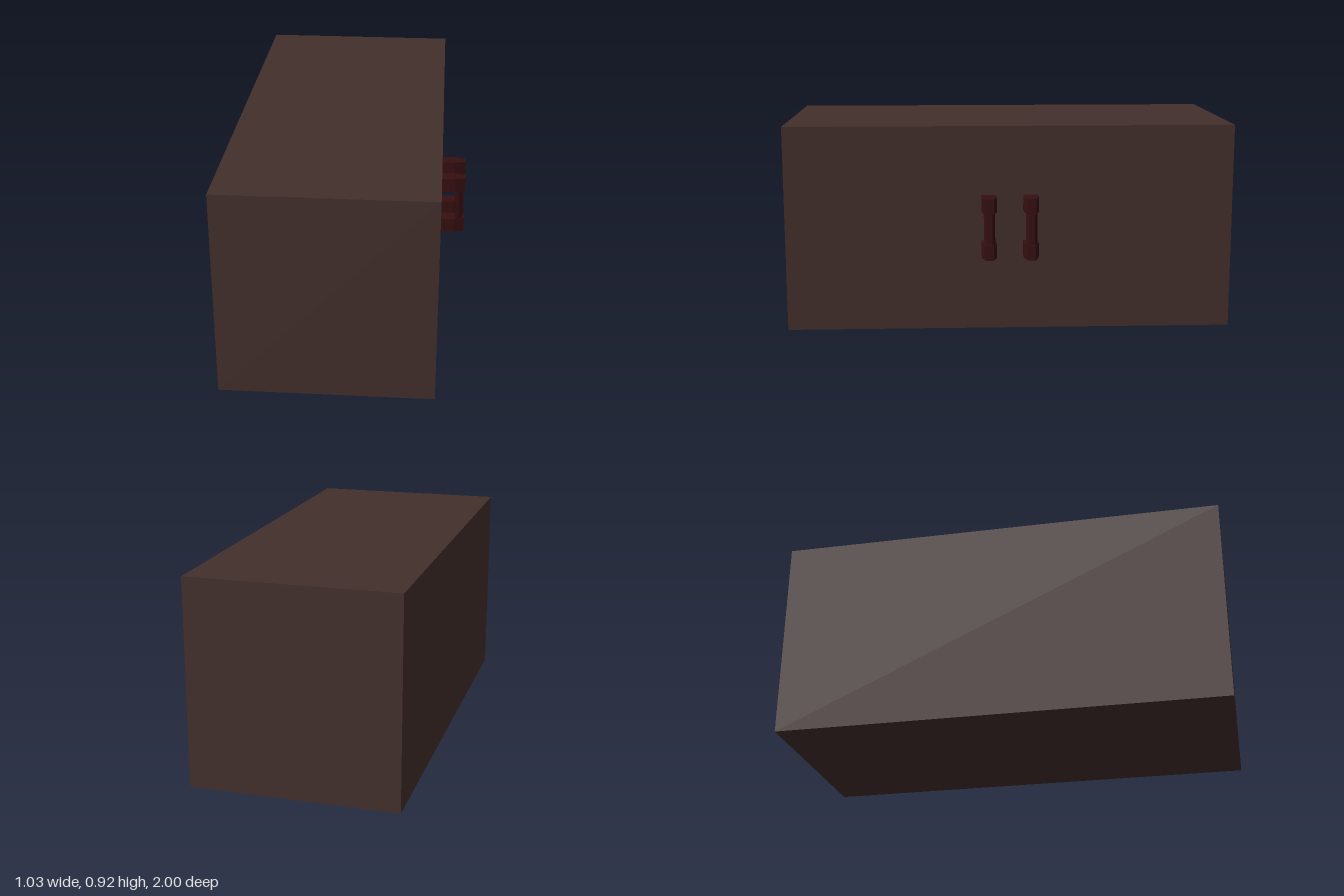
import * as THREE from 'three';

const bodyMat = new THREE.MeshStandardMaterial({ color: 0x432f2c });
const handleMat = new THREE.MeshStandardMaterial({ color: 0x360f10, flatShading: true });

// Upright prism: outline points are [x, z], extruded from y0 to y1
function prism(name, outline, y0, y1) {
  const shape = new THREE.Shape(outline.map(([x, z]) => new THREE.Vector2(x, -z)));
  const geo = new THREE.ExtrudeGeometry(shape, { depth: y1 - y0, bevelEnabled: false });
  geo.rotateX(-Math.PI / 2);
  geo.translate(0, y0, 0);
  const mesh = new THREE.Mesh(geo, handleMat);
  mesh.name = name;
  return mesh;
}

// Pull handle: two mounts with tapered tips joined by a faceted grip
function makeHandle(name, z) {
  const handle = new THREE.Group();
  handle.name = name;
  const mount = [[0.4, 0.033], [0.465, 0.033], [0.515, 0.018], [0.515, -0.018], [0.465, -0.033], [0.4, -0.033]];
  const grip = [[0.473, 0.025], [0.487, 0.025], [0.508, 0.013], [0.508, -0.013], [0.487, -0.025], [0.473, -0.025]];
  handle.add(prism('upperMount', mount, 0.545, 0.612));
  handle.add(prism('lowerMount', mount, 0.338, 0.405));
  handle.add(prism('grip', grip, 0.405, 0.545));
  handle.position.z = z;
  return handle;
}

export function createModel() {
  const model = new THREE.Group();
  model.name = 'cabinet';

  // Plain box carcass
  const body = new THREE.Mesh(new THREE.BoxGeometry(0.917, 0.92, 2), bodyMat);
  body.name = 'body';
  body.position.set(-0.0565, 0.46, 0);
  model.add(body);

  // Pair of handles on the +x side
  model.add(makeHandle('frontHandle', 0.093), makeHandle('backHandle', -0.093));
  return model;
}
